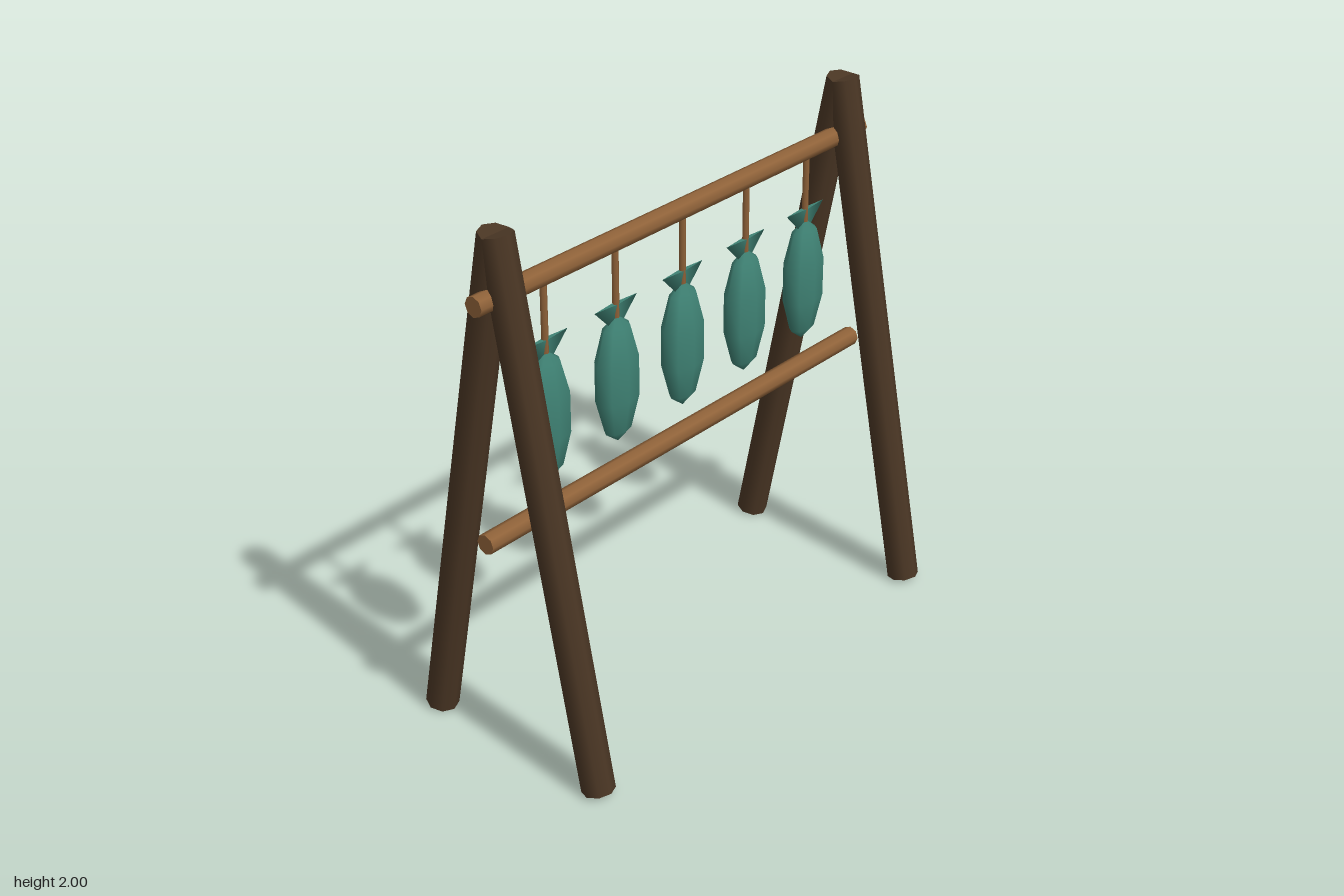
import * as THREE from 'three';

export function createModel() {
  const group = new THREE.Group();
  const darkWood = new THREE.MeshStandardMaterial({ color: 0x4a3624 });
  darkWood.name = 'darkWood';
  const lightWood = new THREE.MeshStandardMaterial({ color: 0x8f6239 });
  lightWood.name = 'lightWood';
  const fishSkin = new THREE.MeshStandardMaterial({ color: 0x3f8274 });
  fishSkin.name = 'fishSkin';

  // A round pole running between two points
  function pole(name, from, to, radius, sides, material, parent = group) {
    const a = new THREE.Vector3(...from);
    const b = new THREE.Vector3(...to);
    const dir = b.clone().sub(a);
    const mesh = new THREE.Mesh(
      new THREE.CylinderGeometry(radius, radius, dir.length(), sides), material);
    mesh.name = name;
    mesh.position.copy(a).add(b).multiplyScalar(0.5);
    mesh.quaternion.setFromUnitVectors(new THREE.Vector3(0, 1, 0), dir.normalize());
    parent.add(mesh);
  }

  // Crossed A-frame legs at each end
  for (const x of [-0.88, 0.88]) {
    for (const side of [-1, 1]) {
      pole(side > 0 ? 'frontLeg' : 'backLeg',
        [x, 0.012, side * 0.385], [x, 1.988, 0], 0.06, 8, darkWood);
    }
  }

  // Horizontal rails
  pole('topRail', [-0.99, 1.773, 0], [0.99, 1.773, 0], 0.037, 8, lightWood);
  pole('lowerRail', [-0.99, 0.897, 0], [0.99, 0.897, 0], 0.037, 8, lightWood);

  // Fish hanging head down from the top rail
  const bodyGeometry = new THREE.SphereGeometry(1, 8, 5).scale(0.103, 0.245, 0.059);
  const tailGeometry = new THREE.ConeGeometry(0.105, 0.11, 4).rotateX(Math.PI).scale(1, 1, 0.1);
  for (let i = -2; i <= 2; i++) {
    const fish = new THREE.Group();
    fish.name = 'hangingFish';
    fish.position.x = i * 0.34;

    const body = new THREE.Mesh(bodyGeometry, fishSkin);
    body.name = 'fishBody';
    body.position.y = 1.255;

    const tail = new THREE.Mesh(tailGeometry, fishSkin);
    tail.name = 'fishTail';
    tail.position.y = 1.485;

    fish.add(body, tail);
    pole('cord', [0, 1.49, 0], [0, 1.77, 0], 0.0125, 6, lightWood, fish);
    group.add(fish);
  }

  return group;
}
